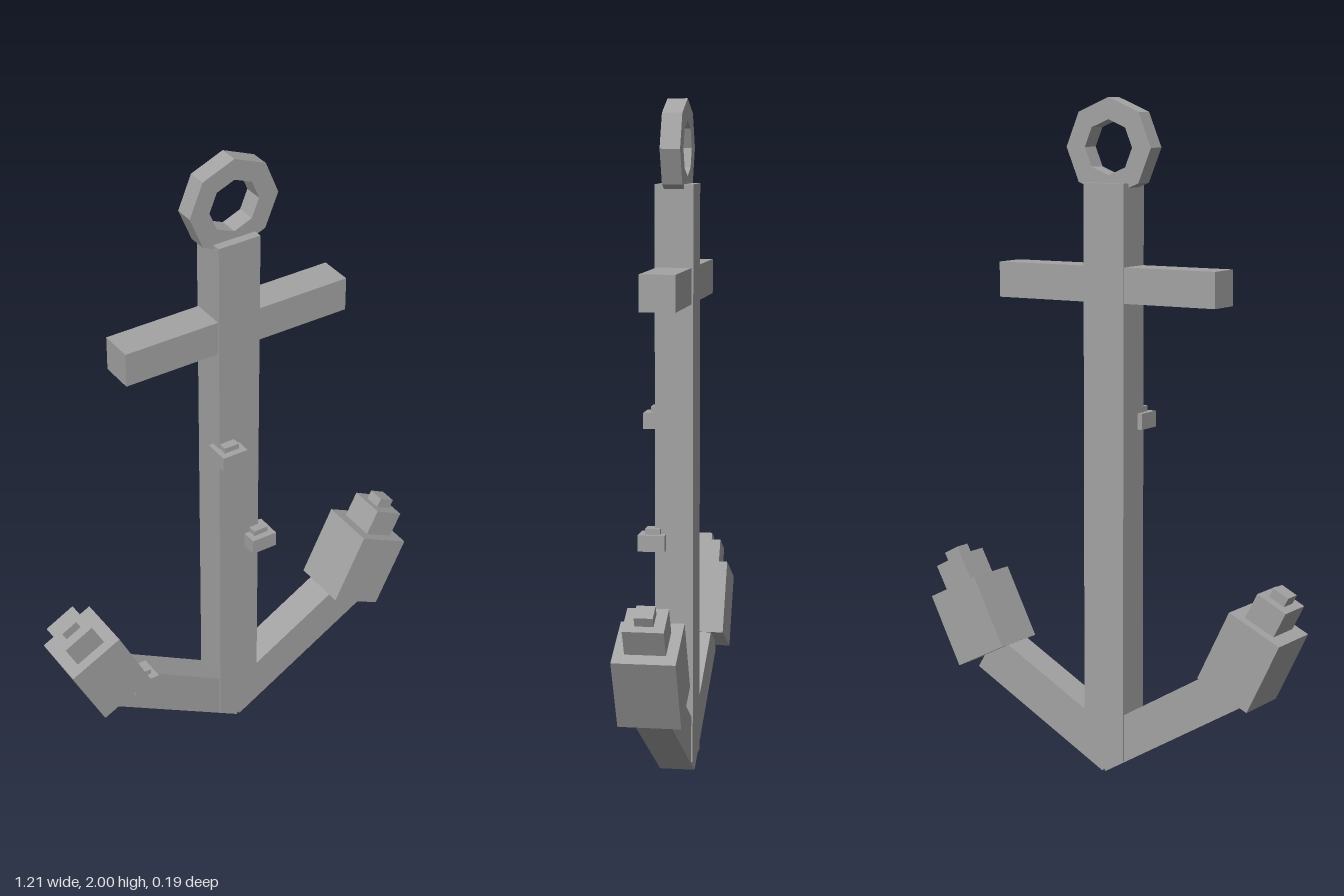
import * as THREE from 'three';

const iron = new THREE.MeshStandardMaterial({ color: 0xa3a3a3 });
iron.name = 'iron grey';

const Z = -0.006; // mid-plane of the main body

// Box placed by its centre and turned in the front plane
function box(name, w, h, d, x, y, z = Z, turn = 0) {
  const mesh = new THREE.Mesh(new THREE.BoxGeometry(w, h, d), iron);
  mesh.name = name;
  mesh.position.set(x, y, z);
  mesh.rotation.z = turn;
  return mesh;
}

function octagon(radius, Type) {
  const points = [];
  for (let i = 0; i < 8; i++) {
    const a = (i * Math.PI) / 4;
    points.push(new THREE.Vector2(radius * Math.cos(a), radius * Math.sin(a)));
  }
  return new Type(points);
}

// Eight-sided ring, with one square-ended link
function makeRing() {
  const ring = new THREE.Group();
  ring.name = 'ring';
  const outer = 0.143, inner = 0.08, depth = 0.059;
  const shape = octagon(outer, THREE.Shape);
  shape.holes.push(octagon(inner, THREE.Path));
  const geometry = new THREE.ExtrudeGeometry(shape, { depth, bevelEnabled: false });
  geometry.translate(0, 0, -depth / 2);
  const body = new THREE.Mesh(geometry, iron);
  body.name = 'ringBody';
  const a = -Math.PI / 8;
  const link = box('ringLink', 0.058, 0.109, depth, 0.103 * Math.cos(a), 0.103 * Math.sin(a), 0, a);
  ring.add(body, link);
  ring.position.set(-0.002, 1.857, Z);
  return ring;
}

// One curved-up side: arm, fluke and stepped tip
function makeSide(s) {
  const side = new THREE.Group();
  side.name = s > 0 ? 'leftArm' : 'rightArm';

  // Arm runs up at 30 degrees from the bottom corner
  const a = Math.PI / 6, length = 0.52, thick = 0.126;
  const armX = 0.005 + (length / 2) * Math.cos(a) - (thick / 2) * Math.sin(a);
  const armY = 0.003 + (length / 2) * Math.sin(a) + (thick / 2) * Math.cos(a);
  side.add(box('arm', length, thick, 0.104, s * armX, armY, Z, s * a));

  // Fluke and its tip blocks lean outwards
  const lean = -s * 0.46;
  side.add(box('fluke', 0.18, 0.23, 0.18, s * 0.473, 0.41, Z, lean));
  const stepped = (name, w, h, d, topX, topY) =>
    side.add(box(name, w, h, d, s * (topX - (h / 2) * Math.sin(0.48)),
      topY - (h / 2) * Math.cos(0.48), Z, -s * 0.48));
  stepped('flukeStep', 0.102, 0.12, 0.116, 0.562, 0.586);
  stepped('flukeTip', 0.054, 0.1, 0.053, 0.575, 0.612);
  return side;
}

// Small barnacle: square base with a nub on top
function makeBarnacle(x, y, z) {
  const barnacle = new THREE.Group();
  barnacle.name = 'barnacle';
  barnacle.add(
    box('barnacleBase', 0.082, 0.048, 0.08, 0, 0, 0),
    box('barnacleNub', 0.048, 0.03, 0.044, 0, 0.026, -0.002)
  );
  barnacle.position.set(x, y, z);
  return barnacle;
}

export function createModel() {
  const anchor = new THREE.Group();
  anchor.name = 'anchor';
  anchor.add(
    box('shank', 0.136, 1.71, 0.113, -0.002, 0.9),
    box('crossbar', 0.735, 0.105, 0.104, -0.002, 1.463),
    makeRing(),
    makeSide(1),
    makeSide(-1)
  );
  for (const [x, y, z] of [[-0.044, 1.058, 0.057], [0.06, 0.709, 0.057], [-0.349, 0.317, 0.038]]) {
    anchor.add(makeBarnacle(x, y, z));
  }
  return anchor;
}
